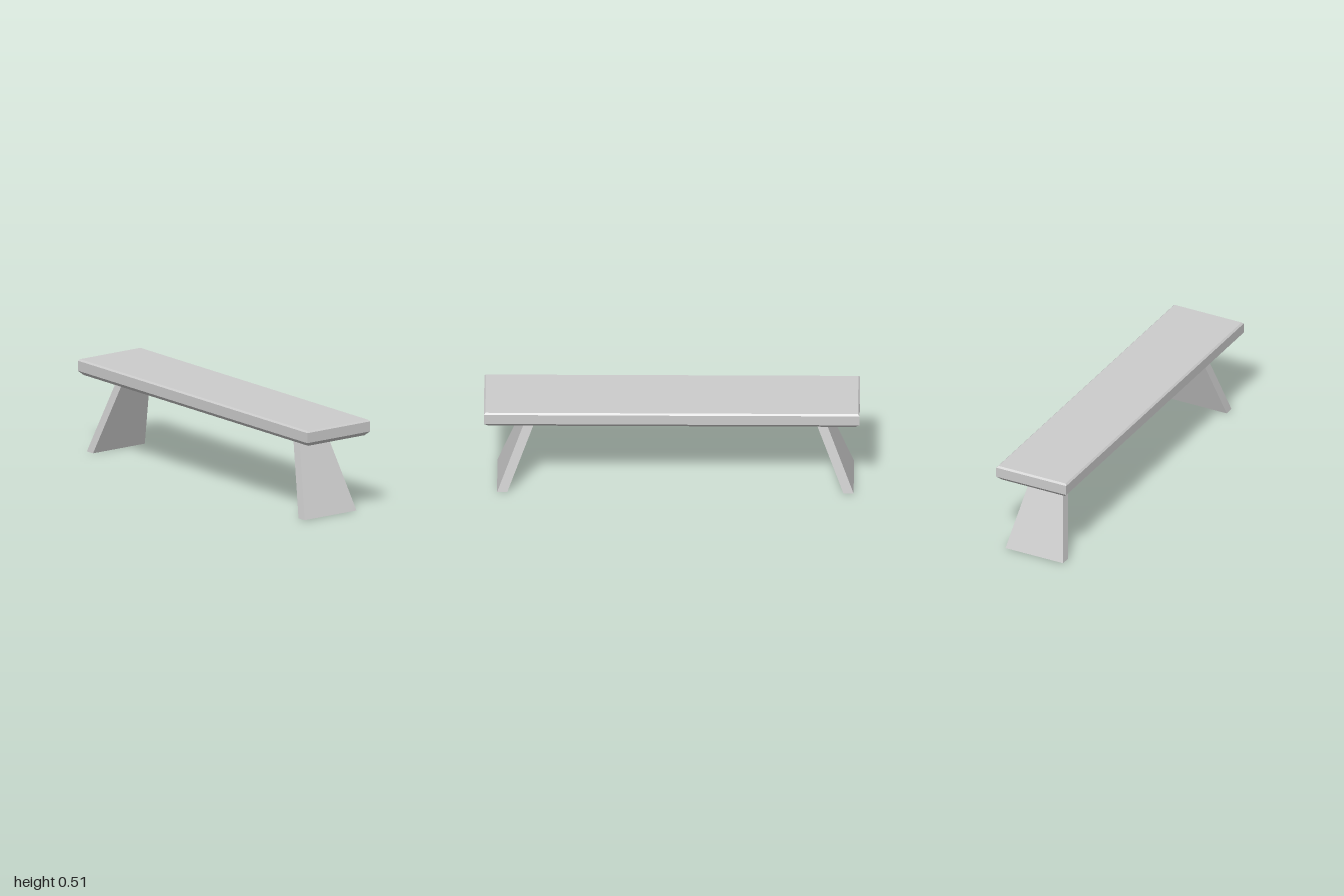
import * as THREE from 'three';

// Closed solid lofted through four-cornered rings, listed from bottom to top.
// Each ring is [y, halfWidth, zBack, zFront].
function loft(rings) {
  const corners = rings.map(([y, w, z0, z1]) => [[-w, y, z1], [w, y, z1], [w, y, z0], [-w, y, z0]]);
  const pos = [];
  const quad = (a, b, c, d) => pos.push(...a, ...b, ...c, ...a, ...c, ...d);
  for (let r = 0; r < corners.length - 1; r++) {
    for (let i = 0; i < 4; i++) {
      const j = (i + 1) % 4;
      quad(corners[r][i], corners[r][j], corners[r + 1][j], corners[r + 1][i]);
    }
  }
  const top = corners[corners.length - 1];
  const bottom = corners[0];
  quad(top[0], top[1], top[2], top[3]);
  quad(bottom[3], bottom[2], bottom[1], bottom[0]);
  const geometry = new THREE.BufferGeometry();
  geometry.setAttribute('position', new THREE.Float32BufferAttribute(pos, 3));
  geometry.computeVertexNormals();
  return geometry;
}

export function createModel() {
  const group = new THREE.Group();
  const grey = new THREE.MeshStandardMaterial({ color: 0xcccccc, flatShading: true });
  grey.name = 'plain grey';

  const add = (name, rings) => {
    const mesh = new THREE.Mesh(loft(rings), grey);
    mesh.name = name;
    group.add(mesh);
    return mesh;
  };

  // Seat plank: wide chamfer below, narrow chamfer on top
  const seatRing = (y, inset) => [y, 0.2115 - inset, -1 + inset, 1 - inset];
  add('seat', [seatRing(0.42, 0.022), seatRing(0.442, 0), seatRing(0.497, 0), seatRing(0.506, 0.009)]);

  // Splayed, tapering slab legs; the back one stands slightly further out
  add('frontLeg', [[0, 0.174, 0.876, 0.93], [0.42, 0.089, 0.718, 0.772]]).position.x = -0.001;
  add('backLeg', [[0, 0.174, -0.968, -0.914], [0.42, 0.089, -0.81, -0.756]]).position.x = -0.001;

  return group;
}
